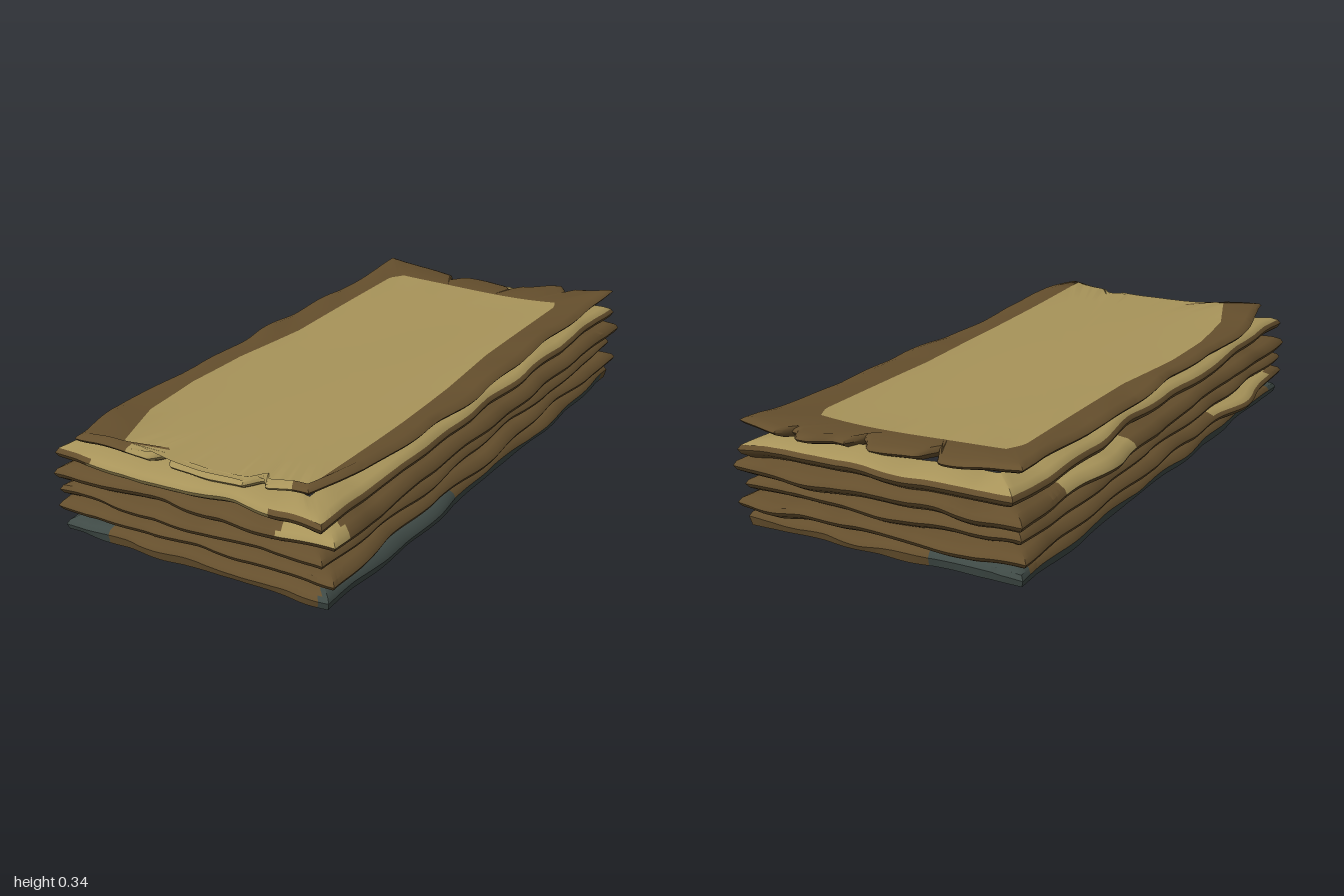
import * as THREE from 'three';
import { toCreasedNormals } from 'three/addons/utils/BufferGeometryUtils.js';

const TAN = 0, BROWN = 1, SLATE = 2;
const NX = 56, NZ = 84;

// Unit-square perimeter: along the front, up the left side, along the back, down the right side
const perimeter = [];
for (let i = 0; i < NX; i++) perimeter.push([-1 + 2 * i / NX, 1]);
for (let i = 0; i < NZ; i++) perimeter.push([1, 1 - 2 * i / NZ]);
for (let i = 0; i < NX; i++) perimeter.push([1 - 2 * i / NX, -1]);
for (let i = 0; i < NZ; i++) perimeter.push([-1, -1 + 2 * i / NZ]);

const lerp = THREE.MathUtils.lerp;
const step = THREE.MathUtils.smoothstep;
const bump = (t, centre, width) => Math.exp(-(((t - centre) / width) ** 2));
const notch = (t, centre) => Math.max(0, 1 - Math.abs(t - centre) / 0.035);

// Smooth waviness with a few chipped kinks, between about -1 and 1
const wave = (t, s) =>
  0.5 * Math.sin(t * 7 + s * 2.3) + 0.3 * Math.sin(t * 17 + s * 4.1) +
  0.35 * (Math.abs(Math.sin(t * 11 + s * 1.7)) - 0.6);

// Straight interpolation through [position, value] points
function along(points, t) {
  for (let i = 1; i < points.length; i++) {
    const [a, va] = points[i - 1], [b, vb] = points[i];
    if (t <= b) return lerp(va, vb, Math.max(0, (t - a) / (b - a)));
  }
  return points[points.length - 1][1];
}

// Torn outline of one sheet
function outline(s, u, v) {
  let x = lerp(s.x0, s.x1, (u + 1) / 2);
  let z = lerp(s.z0, s.z1, (v + 1) / 2);
  const side = Math.sign(x);
  const ex = Math.abs(u) ** 6, ez = Math.abs(v) ** 8;
  x += side * ex * 0.011 * wave(z, s.seed + side);
  z += Math.sign(v) * ez * 0.011 * wave(x * 1.6, s.seed + 3 * Math.sign(v));
  if (s.bulge !== undefined && u < 0) x -= ex * 0.03 * bump(z, s.bulge, 0.17);
  if (s.top) {
    if (v > 0.6) x *= 1 - 0.14 * ((v - 0.6) / 0.4) ** 2;
    if (v === 1) z -= 0.06 * Math.max(notch(x, -0.1), notch(x, 0.22)) - 0.02 * bump(x, -0.32, 0.1);
    if (v === -1) {
      z -= 0.045 * step(x, 0.16, 0.24);
      z += 0.06 * Math.max(notch(x, -0.13), notch(x, 0.1), notch(x, 0.3));
    }
  }
  return [x, z];
}

// Gentle sag of the uppermost face, with raised corners
const topHeight = (x, z) => 0.306 + 0.01 * Math.abs(x / 0.44) ** 4 + 0.02 * (x / 0.44) ** 2 * z * z +
  0.003 * Math.sin(x * 9 + z * 4) + 0.007 * bump(x, 0, 0.14) * bump(z, 0.68, 0.05);

// Edge of the clean panel on the top sheet
const panelLeft = [[-0.79, -0.3], [-0.74, -0.33], [-0.1, -0.32], [0.2, -0.35], [0.45, -0.35], [0.7, -0.32], [0.95, -0.23]];
const panelRight = [[-0.79, 0.31], [-0.74, 0.33], [-0.2, 0.33], [0.1, 0.35], [0.4, 0.36], [0.95, 0.37]];
function panelPoint(s, u, v) {
  let z = lerp(-0.79, 0.95, (v + 1) / 2);
  const x = lerp(along(panelLeft, z), along(panelRight, z), (u + 1) / 2);
  if (v === 1) z = outline(s, x / 0.38, 1)[1] - 0.008;
  return [x, z];
}

// Edge profile: [inset, height as a part of the half thickness]
const profile = [[0.075, -1], [0.03, -0.8], [0.008, -0.4], [0, 0], [0.008, 0.4], [0.03, 0.72], [0.1, 0.95]];

// Closed slab built from perimeter rings, running from below, around the edge, to the upper face
function buildSheet(s) {
  const rings = [];
  const add = (fn) => rings.push(perimeter.map(([u, v]) => fn(u, v)));
  const base = s.bottom ? [[0.02, -0.85], [0.006, -0.6], ...profile.slice(3)] : profile;
  if (s.bottom) add(() => [0, 0.012, 0]);
  for (const [inset, dy] of base) {
    if (s.top && inset === 0.1) continue;
    add((u, v) => {
      const [x, z] = outline(s, u, v);
      const px = x - inset * THREE.MathUtils.clamp(x / 0.44, -1, 1) ** 3;
      const pz = z - inset * THREE.MathUtils.clamp(z / 0.96, -1, 1) ** 5;
      const flutter = 0.009 * wave(x * 1.3 + z * 0.9, s.seed * 1.3);
      const lift = s.top ? topHeight(px, pz) - 0.306 : 0;
      const y = s.bottom && dy < -0.5 ? 0.008 + (dy > -0.7 ? 0.006 : 0) : s.y + flutter + lift + dy * s.h;
      return [px, y, pz];
    });
  }
  const shellRings = rings.length;
  if (s.top) {
    for (const k of [1, 0.8, 0.6, 0.4, 0.2, 0]) {
      add((u, v) => {
        const [px, pz] = panelPoint(s, u, v);
        const x = px * k, z = 0.08 + (pz - 0.08) * k;
        return [x, topHeight(x, z) + 0.009, z];
      });
    }
  }
  const positions = [[], [], []];
  const n = perimeter.length;
  for (let r = 0; r + 1 < rings.length; r++) {
    for (let i = 0; i < n; i++) {
      const j = (i + 1) % n;
      const a = rings[r][i], b = rings[r][j], c = rings[r + 1][j], d = rings[r + 1][i];
      const m = r >= shellRings ? TAN : s.paint((a[0] + b[0]) / 2, (a[2] + b[2]) / 2, r);
      if (!(s.bottom && r === 0)) positions[m].push(...a, ...b, ...c);
      if (c !== d && !(s.top && r === rings.length - 2)) positions[m].push(...a, ...c, ...d);
      else if (s.bottom && r === 0) positions[m].push(...a, ...c, ...d);
    }
  }
  let geometry = new THREE.BufferGeometry();
  geometry.setAttribute('position', new THREE.Float32BufferAttribute(positions.flat(), 3));
  let start = 0;
  positions.forEach((p, m) => {
    if (p.length) geometry.addGroup(start, p.length / 3, m);
    start += p.length / 3;
  });
  return toCreasedNormals(geometry, 0.6);
}

// Sheets from bottom to top, with their stained areas
const sheets = [
  { name: 'bottomSheet', bottom: true, y: 0.036, h: 0.034, x0: -0.44, x1: 0.465, z0: -0.955, z1: 0.97, seed: 1,
    paint: (x, z, r) => {
      if (r < 1) return SLATE;
      if (z > 0.9) return x < -0.28 || x > 0.43 ? SLATE : BROWN;
      if (z < -0.9) return x < -0.15 ? SLATE : BROWN;
      return r < 3 || (x > 0 && z > 0.25) ? SLATE : BROWN;
    } },
  { name: 'secondSheet', y: 0.09, h: 0.031, x0: -0.455, x1: 0.472, z0: -0.98, z1: 0.97, seed: 2.2, bulge: 0.55,
    paint: (x, z, r) => (r > 3 && x < -0.4 && z > 0.35 && z < 0.85 ? TAN : BROWN) },
  { name: 'thirdSheet', y: 0.142, h: 0.031, x0: -0.445, x1: 0.458, z0: -0.965, z1: 0.975, seed: 3.7,
    paint: () => BROWN },
  { name: 'fourthSheet', y: 0.199, h: 0.034, x0: -0.455, x1: 0.476, z0: -0.985, z1: 0.975, seed: 5.1, bulge: -0.5,
    paint: (x, z, r) => (r > 2 && ((z > 0.9 && x > 0.3) || (x < -0.4 && z > -0.72 && z < -0.3)) ? TAN : BROWN) },
  { name: 'fifthSheet', y: 0.26, h: 0.034, x0: -0.435, x1: 0.458, z0: -0.98, z1: 0.985, seed: 6.4,
    paint: (x, z, r) => (r > 3 || (r > 1 && z > 0.9 && x > -0.33 && x < 0.28) ? TAN : BROWN) },
  { name: 'topSheet', top: true, y: 0.304, h: 0.02, x0: -0.428, x1: 0.448, z0: -0.925, z1: 0.955, seed: 8,
    paint: (x, z, r) => (r > 1 && z > 0.85 && x > -0.2 && x < 0.33 ? TAN : BROWN) },
];

export function createModel() {
  const material = (name, color) => new THREE.MeshStandardMaterial({ name, color });
  const materials = [
    material('parchmentTan', 0xa8945a),
    material('agedBrown', 0x654f2d),
    material('slateStain', 0x3f4a46),
  ];
  const group = new THREE.Group();
  group.name = 'parchmentStack';
  for (const s of sheets) {
    const mesh = new THREE.Mesh(buildSheet(s), materials);
    mesh.name = s.name;
    group.add(mesh);
  }
  return group;
}
